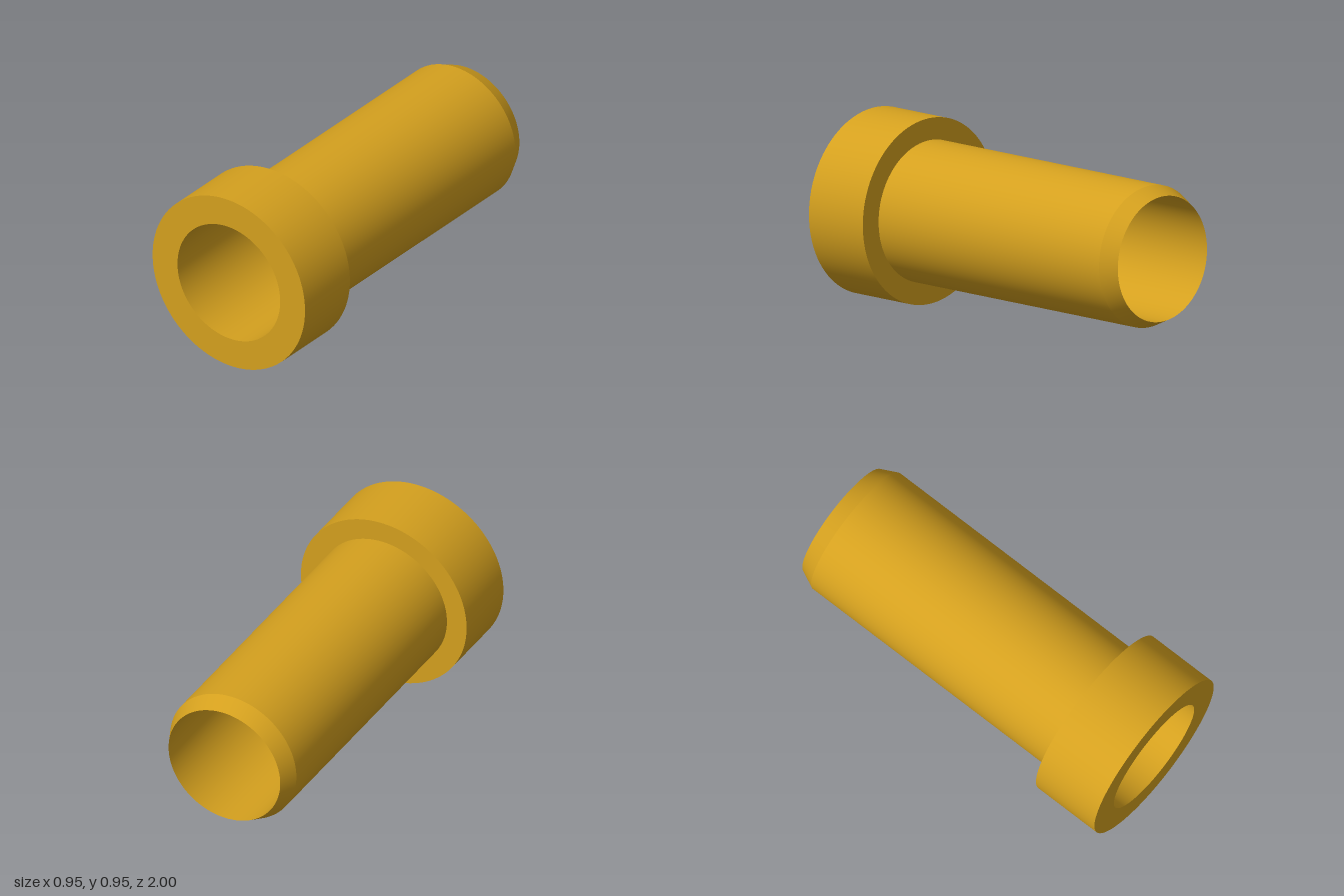
import * as THREE from 'three';
import { toCreasedNormals } from 'three/addons/utils/BufferGeometryUtils.js';

const COLLAR_R = 0.475, SLEEVE_R = 0.362, BORE_R = 0.32;
const SHOULDER_Z = 0.625, CHAMFER_Z = -0.91;

export function createModel() {
  const group = new THREE.Group();
  group.name = 'flangedBushing';
  const material = new THREE.MeshStandardMaterial({ color: 0xd4a01e });

  // Turns a [radius, z] profile about the z axis, keeping its corners sharp
  const addTurned = (name, profile) => {
    const points = profile.map(([r, z]) => new THREE.Vector2(r, z));
    const geometry = new THREE.LatheGeometry(points, 96).rotateX(Math.PI / 2);
    const mesh = new THREE.Mesh(toCreasedNormals(geometry, 0.3), material);
    mesh.name = name;
    mesh.position.y = COLLAR_R;
    group.add(mesh);
  };

  // Sleeve with its chamfered back end
  addTurned('sleeve', [[BORE_R, -1], [SLEEVE_R, CHAMFER_Z], [SLEEVE_R, SHOULDER_Z]]);

  // Collar: shoulder, rim and front face
  addTurned('collar', [[SLEEVE_R, SHOULDER_Z], [COLLAR_R, SHOULDER_Z], [COLLAR_R, 1], [BORE_R, 1]]);

  // Through bore, facing inward
  addTurned('bore', [[BORE_R, 1], [BORE_R, -1]]);

  return group;
}
